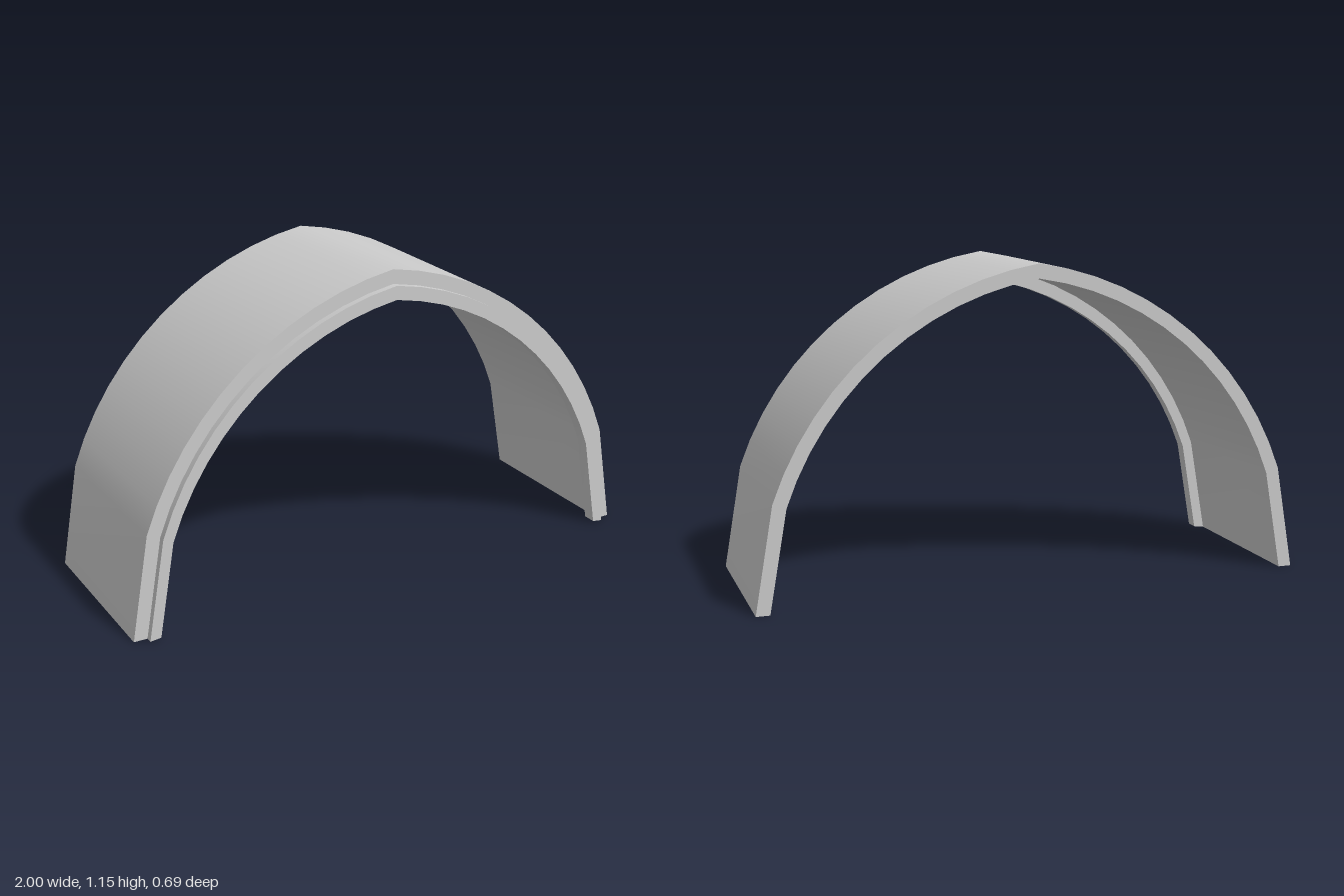
import * as THREE from 'three';
import { toCreasedNormals } from 'three/addons/utils/BufferGeometryUtils.js';

const STEPS = 12;
const APEX_TILT = THREE.MathUtils.degToRad(8.5); // slope where both halves meet

// Pointed arch outline: straight foot panel, then a circular arc to the apex, mirrored.
function archLine(foot, knee, apexY) {
  const dx = knee[0], dy = apexY - knee[1];
  const half = Math.atan2(dy, dx) - APEX_TILT;
  const r = Math.hypot(dx, dy) / (2 * Math.sin(half));
  const cx = -r * Math.sin(APEX_TILT), cy = apexY - r * Math.cos(APEX_TILT);
  const right = [new THREE.Vector2(foot[0], foot[1])];
  for (let i = 0; i <= STEPS; i++) {
    const a = APEX_TILT + 2 * half * (1 - i / STEPS);
    right.push(new THREE.Vector2(cx + r * Math.sin(a), cy + r * Math.cos(a)));
  }
  const left = right.slice(0, -1).reverse().map((p) => new THREE.Vector2(-p.x, p.y));
  return [...right, ...left];
}

// Band between two arch outlines, running from zBack to zFront.
function archBand(name, outer, inner, zBack, zFront, material) {
  const shape = new THREE.Shape([...outer, ...inner.slice().reverse()]);
  const geometry = new THREE.ExtrudeGeometry(shape, { depth: zFront - zBack, bevelEnabled: false });
  geometry.translate(0, 0, zBack);
  const mesh = new THREE.Mesh(toCreasedNormals(geometry, Math.PI / 6), material);
  mesh.name = name;
  return mesh;
}

export function createModel() {
  const group = new THREE.Group();
  group.name = 'archedCover';
  const material = new THREE.MeshStandardMaterial({ color: 0xcccccc });

  const outer = archLine([1, 0], [0.935, 0.377], 1.15);
  const middle = archLine([0.951, 0], [0.888, 0.36], 1.098);
  const inner = archLine([0.911, 0.005], [0.852, 0.345], 1.048);

  // Long outer shell
  group.add(archBand('shell', outer, middle, -0.345, 0.32, material));
  // Narrow inner lip standing proud of the front edge
  group.add(archBand('frontLip', middle, inner, 0.295, 0.345, material));
  return group;
}
